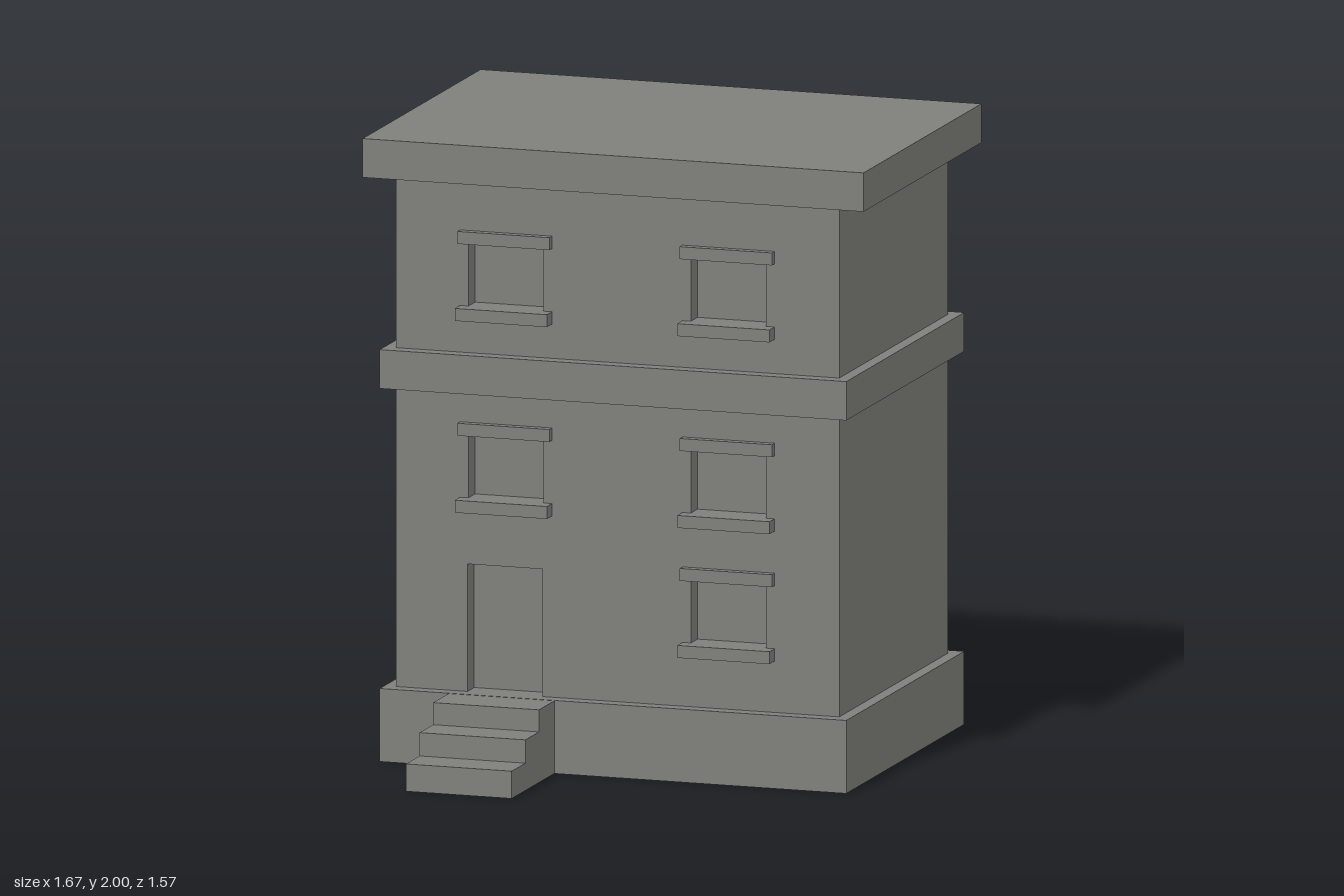
import * as THREE from 'three';

const stone = new THREE.MeshStandardMaterial({ color: 0x7f7f7b, side: THREE.DoubleSide });
stone.name = 'grey stone';

// Wall planes and depth of the window and door recesses
const FRONT = 0.322, BACK = -0.736, RECESS = 0.065;
const HALF = 0.738, Y0 = 0.235, Y1 = 1.875;
const OPEN_W = 0.25, TRIM_W = 0.307;

function add(parent, name, geometry) {
  const mesh = new THREE.Mesh(geometry, stone);
  mesh.name = name;
  parent.add(mesh);
  return mesh;
}

// Box given by its limits
function block(parent, name, x0, x1, y0, y1, z0, z1) {
  const g = new THREE.BoxGeometry(x1 - x0, y1 - y0, z1 - z0);
  g.translate((x0 + x1) / 2, (y0 + y1) / 2, (z0 + z1) / 2);
  return add(parent, name, g);
}

// Removes the underside of a box geometry, leaving it hollow from below
function openBelow(mesh) {
  const g = mesh.geometry;
  const index = Array.from(g.index.array);
  index.splice(18, 6);
  g.setIndex(index);
  g.clearGroups();
}

function rectHole(x0, x1, y0, y1) {
  const p = new THREE.Path();
  p.moveTo(x0, y0);
  p.lineTo(x0, y1);
  p.lineTo(x1, y1);
  p.lineTo(x1, y0);
  p.closePath();
  return p;
}

// Facade facing +z with its outer face at z = 0
function facade(name, hasDoor) {
  const group = new THREE.Group();
  group.name = name;

  // Outline, notched at the bottom where the door stands
  const points = [[-HALF, Y0]];
  if (hasDoor) points.push([-0.5, Y0], [-0.5, 0.645], [-0.25, 0.645], [-0.25, Y0]);
  points.push([HALF, Y0], [HALF, Y1], [-HALF, Y1]);
  const wall = new THREE.Shape(points.map(([x, y]) => new THREE.Vector2(x, y)));

  for (const sillTop of [0.44, 0.858, 1.475]) {
    for (const x of [-0.372, 0.369]) {
      if (hasDoor && x < 0 && sillTop < 0.5) continue;
      const top = sillTop + 0.203;
      wall.holes.push(rectHole(x - OPEN_W / 2, x + OPEN_W / 2, sillTop, top));
      block(group, 'windowSill', x - TRIM_W / 2, x + TRIM_W / 2, sillTop - 0.04, sillTop, 0, 0.05);
      block(group, 'windowLintel', x - TRIM_W / 2, x + TRIM_W / 2, top, top + 0.04, 0, 0.026);
    }
  }

  const g = new THREE.ExtrudeGeometry(wall, { depth: RECESS, bevelEnabled: false });
  g.translate(0, 0, -RECESS);
  add(group, 'wall', g);
  return group;
}

// Hollow flight of steps: treads, risers and two side panels
function stairs() {
  const group = new THREE.Group();
  group.name = 'frontSteps';
  const x0 = -0.547, x1 = -0.195, w = x1 - x0, xm = (x0 + x1) / 2, back = 0.368;
  const fronts = [0.784, 0.651, 0.519, back];
  const tops = [0, 0.088, 0.163, 0.234];
  const side = new THREE.Shape();
  side.moveTo(-back, 0);
  side.lineTo(-fronts[0], 0);
  for (let i = 0; i < 3; i++) {
    const h = tops[i + 1] - tops[i], d = fronts[i] - fronts[i + 1];
    const riser = new THREE.PlaneGeometry(w, h);
    riser.translate(xm, tops[i] + h / 2, fronts[i]);
    add(group, 'riser', riser);
    const tread = new THREE.PlaneGeometry(w, d).rotateX(-Math.PI / 2);
    tread.translate(xm, tops[i + 1], fronts[i] - d / 2);
    add(group, 'tread', tread);
    side.lineTo(-fronts[i], tops[i + 1]);
    side.lineTo(-fronts[i + 1], tops[i + 1]);
  }
  side.closePath();
  // Side panels: shape x runs along -z
  const left = new THREE.ShapeGeometry(side).rotateY(Math.PI / 2);
  const right = left.clone();
  // Flip the winding so the right panel faces outward
  const idx = right.index.array;
  for (let i = 0; i < idx.length; i += 3) [idx[i], idx[i + 1]] = [idx[i + 1], idx[i]];
  right.computeVertexNormals();
  add(group, 'leftPanel', left.translate(x1, 0, 0));
  add(group, 'rightPanel', right.translate(x0, 0, 0));
  return group;
}

export function createModel() {
  const model = new THREE.Group();
  model.name = 'townhouse';

  // Core between the two facades; its faces close the recesses
  openBelow(block(model, 'core', -HALF, HALF, Y0, Y1, BACK + RECESS, FRONT - RECESS));

  const front = facade('frontFacade', true);
  front.position.z = FRONT;
  const rear = facade('backFacade', false);
  rear.rotation.y = Math.PI;
  rear.position.z = BACK;
  model.add(front, rear);

  // Plinth (hollow underneath), string course and flat roof slab
  openBelow(block(model, 'plinth', -0.777, 0.777, 0, Y0, -0.781, 0.368));
  block(model, 'stringCourse', -0.777, 0.777, 1.2, 1.325, -0.781, 0.368);
  block(model, 'roofSlab', -0.834, 0.834, Y1, 2, -0.781, 0.367);

  model.add(stairs());
  return model;
}
